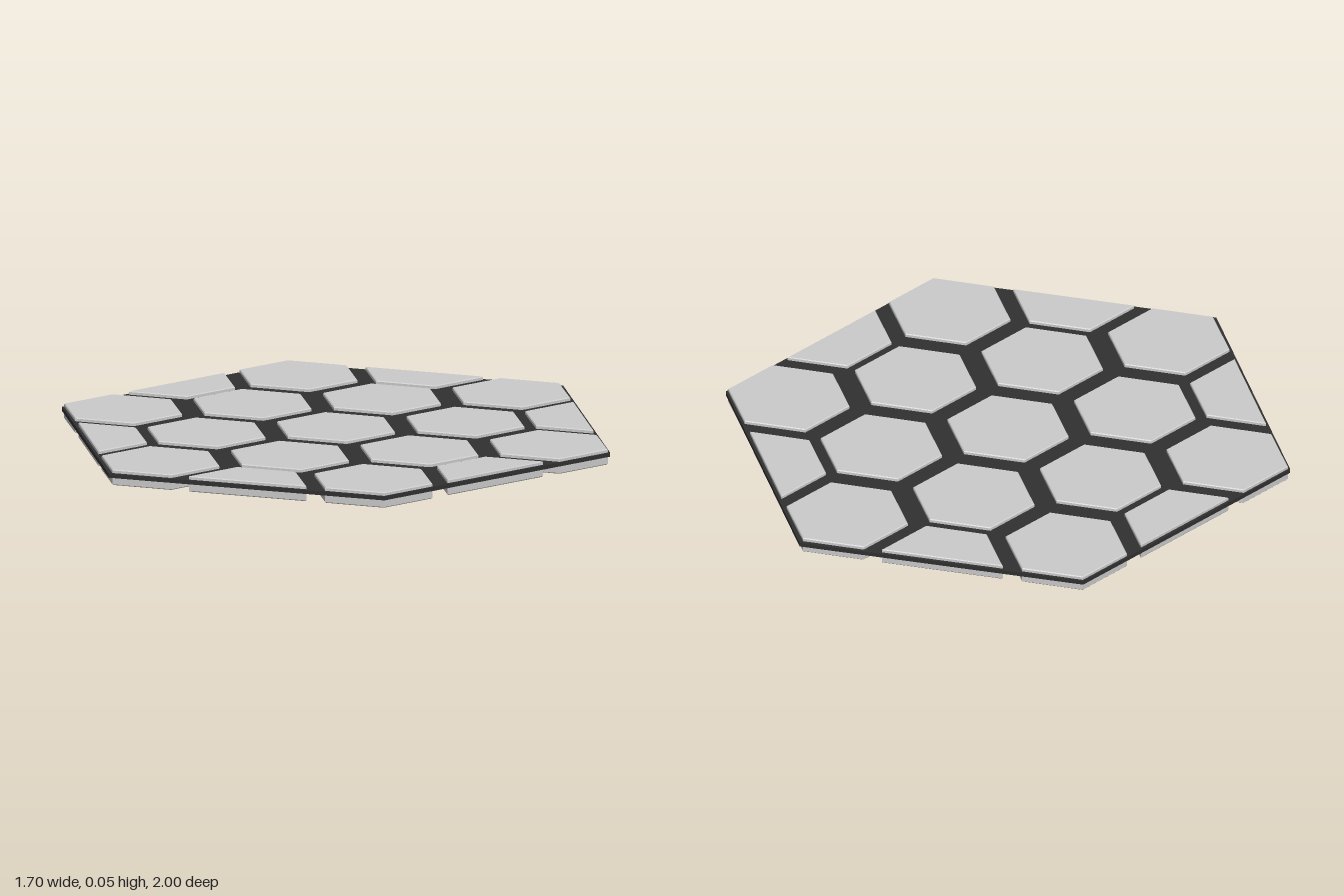
import * as THREE from 'three';

const PITCH = 0.44, ROW = 0.386, TILE_R = 0.212;
const HEIGHT = 0.054, CORE_BOTTOM = 0.028, CORE_TOP = 0.042;

// Pointed hexagon, counter-clockwise
const hexagon = (cx, cy, r) => Array.from({ length: 6 }, (_, i) => {
  const a = Math.PI / 6 + i * Math.PI / 3;
  return new THREE.Vector2(cx + r * Math.cos(a), cy + r * Math.sin(a));
});

// Panel border, shrunk by a margin
const border = (margin) => [[0.85, 0.497], [0, 1], [-0.85, 0.497], [-0.85, -0.497], [0, -1], [0.85, -0.497]]
  .map(([x, y]) => new THREE.Vector2(x, y).multiplyScalar(1 - margin));

// Keep the part of a convex polygon that lies inside another one
function clip(points, window) {
  window.forEach((a, i) => {
    const edge = window[(i + 1) % window.length].clone().sub(a);
    const side = (p) => edge.cross(p.clone().sub(a));
    const kept = [];
    points.forEach((p, j) => {
      const q = points[(j + 1) % points.length];
      const sp = side(p), sq = side(q);
      if (sp >= 0) kept.push(p);
      if (sp * sq < 0) kept.push(p.clone().lerp(q, sp / (sp - sq)));
    });
    points = kept;
  });
  return points;
}

// Upright prism between two heights, with an optional edge chamfer
function prism(name, points, y0, y1, chamfer, material) {
  const geometry = new THREE.ExtrudeGeometry(new THREE.Shape(points), {
    depth: y1 - y0 - 2 * chamfer,
    bevelEnabled: chamfer > 0,
    bevelSize: chamfer,
    bevelThickness: chamfer,
    bevelOffset: -chamfer,
    bevelSegments: 1,
  });
  geometry.rotateX(-Math.PI / 2);
  const mesh = new THREE.Mesh(geometry, material);
  mesh.name = name;
  mesh.position.y = y0 + chamfer;
  return mesh;
}

export function createModel() {
  const group = new THREE.Group();
  group.name = 'hexagonalPanel';
  const grey = new THREE.MeshStandardMaterial({ color: 0xcccccc, flatShading: true });
  const dark = new THREE.MeshStandardMaterial({ color: 0x303030, flatShading: true });

  // Dark core sheet
  group.add(prism('coreSheet', border(0), CORE_BOTTOM, CORE_TOP, 0, dark));

  // Honeycomb of tiles standing out on both faces
  const tiles = new THREE.Group();
  tiles.name = 'tiles';
  for (let row = -2; row <= 2; row++) {
    const count = 5 - Math.abs(row);
    for (let i = 0; i < count; i++) {
      const centre = new THREE.Vector2((i - (count - 1) / 2) * PITCH, row * ROW);
      // The six cut tiles sit slightly closer to the middle
      const cut = centre.length() > 0.82;
      if (cut) centre.setLength(centre.length() - 0.037);
      const outline = clip(hexagon(centre.x, centre.y, TILE_R), border(cut ? 0.012 : 0.006));
      tiles.add(prism(cut ? 'cutTile' : 'tile', outline, 0, HEIGHT, 0.003, grey));
    }
  }
  group.add(tiles);
  return group;
}
